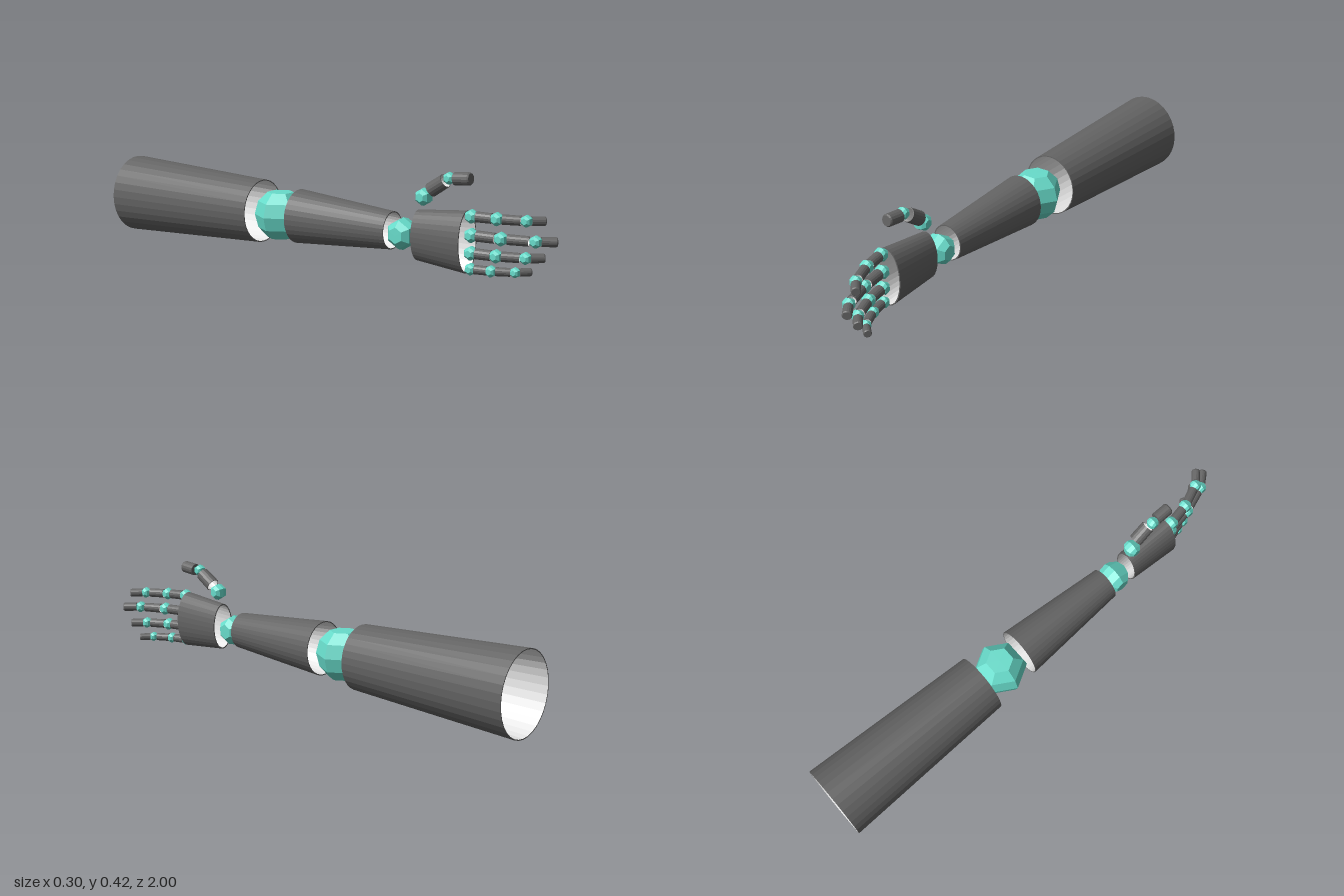
import * as THREE from 'three';

const shell = new THREE.MeshStandardMaterial({ name: 'dark grey shell', color: 0x646464, flatShading: true });
const lining = new THREE.MeshStandardMaterial({ name: 'light lining', color: 0xf0f0f0, flatShading: true });
const teal = new THREE.MeshStandardMaterial({ name: 'teal joint', color: 0x68dccb, flatShading: true });

const V = (x, y, z) => new THREE.Vector3(x, y, z);

// Bends a unit tube (axis z) so that end t uses radii from ends(t, ring)
function loft(sides, rule) {
  const g = new THREE.CylinderGeometry(1, 1, 1, sides, 1, true);
  g.rotateX(Math.PI / 2);
  const p = g.attributes.position;
  for (let i = 0; i < p.count; i++) {
    const [rx, ry, z] = rule(p.getZ(i) > 0 ? 1 : 0);
    p.setXYZ(i, p.getX(i) * rx, p.getY(i) * ry, z);
  }
  g.computeVertexNormals();
  return g;
}

// Open sleeve from a to b with a thin wall: radii are [rx, ry] at each end
function sleeve(name, a, b, back, front, wall = 0.003, sides = 32) {
  const group = new THREE.Group();
  group.name = name;
  const length = a.distanceTo(b);
  const ends = [back, front];
  const part = (suffix, material, rule) => {
    const m = new THREE.Mesh(loft(sides, rule), material);
    m.name = name + suffix;
    group.add(m);
  };
  part('Outside', shell, t => [...ends[t], t * length]);
  // the lining runs front to back so that it faces inwards
  part('Inside', lining, t => [ends[1 - t][0] - wall, ends[1 - t][1] - wall, (1 - t) * length]);
  part('BackRim', shell, t => [back[0] - wall * (1 - t), back[1] - wall * (1 - t), 0]);
  part('FrontRim', shell, t => [front[0] - wall * t, front[1] - wall * t, length]);
  group.position.copy(a);
  group.lookAt(b);
  return group;
}

// Six-sided faceted ball with flat caps; its axis is y, or x when tipped over
function joint(name, center, r, tipped = true) {
  const profile = [[0, -0.87], [0.5, -0.866], [0.866, -0.5], [1, 0], [0.866, 0.5], [0.5, 0.866], [0, 0.87]]
    .map(([x, y]) => new THREE.Vector2(x * r, y * r));
  const g = new THREE.LatheGeometry(profile, 6);
  g.rotateY(Math.PI / 2);
  if (tipped) g.rotateZ(Math.PI / 2);
  const m = new THREE.Mesh(g, teal);
  m.name = name;
  m.position.copy(center);
  return m;
}

// Closed digit end with a small bevel
function tip(name, a, b, r) {
  const len = a.distanceTo(b), p = (x, y) => new THREE.Vector2(x, y);
  const g = new THREE.LatheGeometry(
    [p(0, 0), p(r, 0), p(r, len * 0.92), p(r * 0.84, len), p(0, len)], 16);
  g.rotateX(Math.PI / 2);
  const m = new THREE.Mesh(g, shell);
  m.name = name;
  m.position.copy(a);
  m.lookAt(b);
  return m;
}

export function createModel() {
  const model = new THREE.Group();
  model.name = 'mechanicalArm';

  // Arm sleeves and their large joints
  model.add(
    sleeve('upperArm', V(0, 0.161, -1), V(0, 0.164, -0.278), [0.148, 0.161], [0.117, 0.127], 0.004),
    joint('elbow', V(0, 0.16, -0.185), 0.106, false),
    sleeve('forearm', V(0, 0.166, -0.087), V(0, 0.166, 0.36), [0.098, 0.107], [0.065, 0.072], 0.004),
    joint('wrist', V(0, 0.16, 0.408), 0.062),
    sleeve('palm', V(0, 0.164, 0.475), V(0, 0.165, 0.685), [0.053, 0.095], [0.063, 0.115], 0.005));

  // Four fingers curling towards +x: y at base and tip, reach, thickness
  const base = 0.705;
  [['index', 0.262, 0.257, 0.83, 0.0178], ['middle', 0.193, 0.188, 1, 0.0185],
    ['ring', 0.128, 0.124, 0.83, 0.018], ['little', 0.07, 0.068, 0.66, 0.0155],
  ].forEach(([name, y0, y1, reach, r]) => {
    const finger = new THREE.Group();
    finger.name = name + 'Finger';
    const at = (x, dz, t) => V(x * (0.7 + 0.3 * Math.min(1, reach + 0.17)),
      THREE.MathUtils.lerp(y0, y1, t), base + dz * reach);
    const j = [at(-0.005, 0, 0), at(0.014, 0.11, 0.35), at(0.055, 0.225, 0.75), at(0.103, 0.283, 1)];
    for (let i = 0; i < 2; i++) {
      const k = r * (1.12 - i * 0.06);
      finger.add(joint(name + 'Joint' + i, j[i], r * (1.5 - i * 0.05)));
      finger.add(sleeve(name + 'Segment' + i, j[i].clone().lerp(j[i + 1], 0.18),
        j[i].clone().lerp(j[i + 1], 0.8), [k, k], [k * 0.96, k * 0.96], 0.002, 16));
    }
    finger.add(joint(name + 'Joint2', j[2], r * 1.3));
    finger.add(tip(name + 'Tip', j[2].clone().lerp(j[3], 0.25), j[3], r * 0.97));
    model.add(finger);
  });

  // Raised thumb
  const thumb = new THREE.Group();
  thumb.name = 'thumb';
  thumb.add(
    joint('thumbBase', V(0.003, 0.308, 0.495), 0.034),
    sleeve('thumbSegment', V(0.011, 0.335, 0.52), V(0.012, 0.374, 0.58), [0.028, 0.028], [0.027, 0.027], 0.003, 16),
    joint('thumbKnuckle', V(0.008, 0.386, 0.6), 0.024),
    tip('thumbTip', V(0.012, 0.386, 0.622), V(0.012, 0.392, 0.688), 0.024));
  model.add(thumb);

  return model;
}
